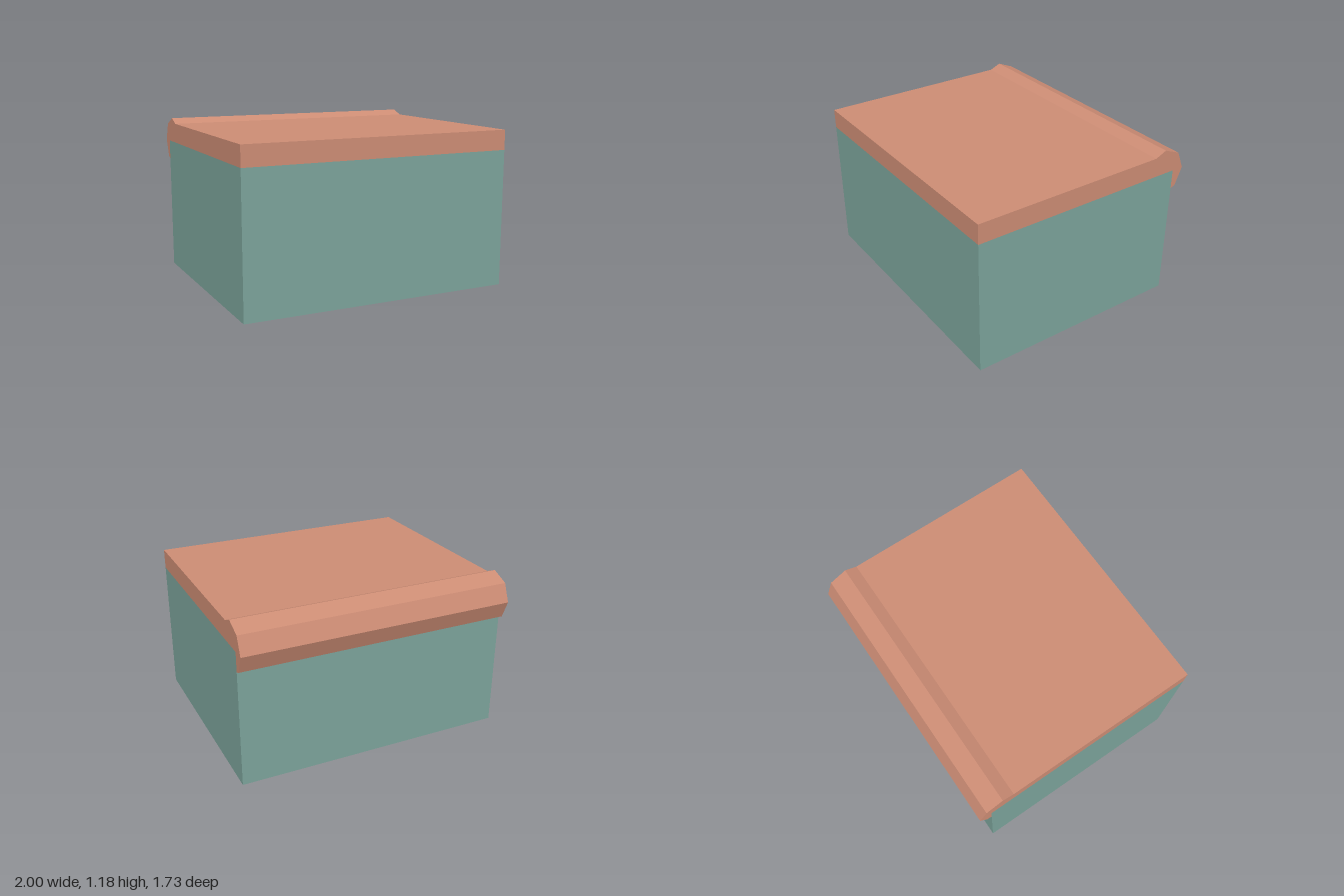
import * as THREE from 'three';

const WIDTH = 2;

// Extrudes a [z, y] side profile across the full width, centred on x = 0.
function sideExtrude(profile) {
  const shape = new THREE.Shape(profile.map(([z, y]) => new THREE.Vector2(z, y)));
  const geometry = new THREE.ExtrudeGeometry(shape, { depth: WIDTH, bevelEnabled: false });
  geometry.rotateY(-Math.PI / 2);
  geometry.translate(WIDTH / 2, 0, 0);
  return geometry;
}

export function createModel() {
  const model = new THREE.Group();
  model.name = 'ledgeBlock';

  const teal = new THREE.MeshStandardMaterial({ color: 0x7ba39a });
  teal.name = 'mutedTeal';
  const clay = new THREE.MeshStandardMaterial({ color: 0xcc8c74 });
  clay.name = 'clay';

  // Solid base block
  const front = 0.863, back = -0.773;
  const base = new THREE.Mesh(new THREE.BoxGeometry(WIDTH, 1, front - back), teal);
  base.name = 'baseBlock';
  base.position.set(0, 0.5, (front + back) / 2);
  model.add(base);

  // Top slab ending in an eight-sided rail that overhangs the back
  const railZ = -0.681, railY = 1, radius = 0.182;
  const railPoint = (i) => {
    const a = (i * Math.PI) / 4;
    return [railZ + radius * Math.cos(a), railY + radius * Math.sin(a)];
  };
  const cap = new THREE.Mesh(sideExtrude([
    [front, 1],
    [front, 1.145],
    [-0.594, 1.145],
    ...[2, 3, 4, 5].map(railPoint),
    [back, 0.856],
    [back, 1],
  ]), clay);
  cap.name = 'topSlabAndRail';
  model.add(cap);

  return model;
}
